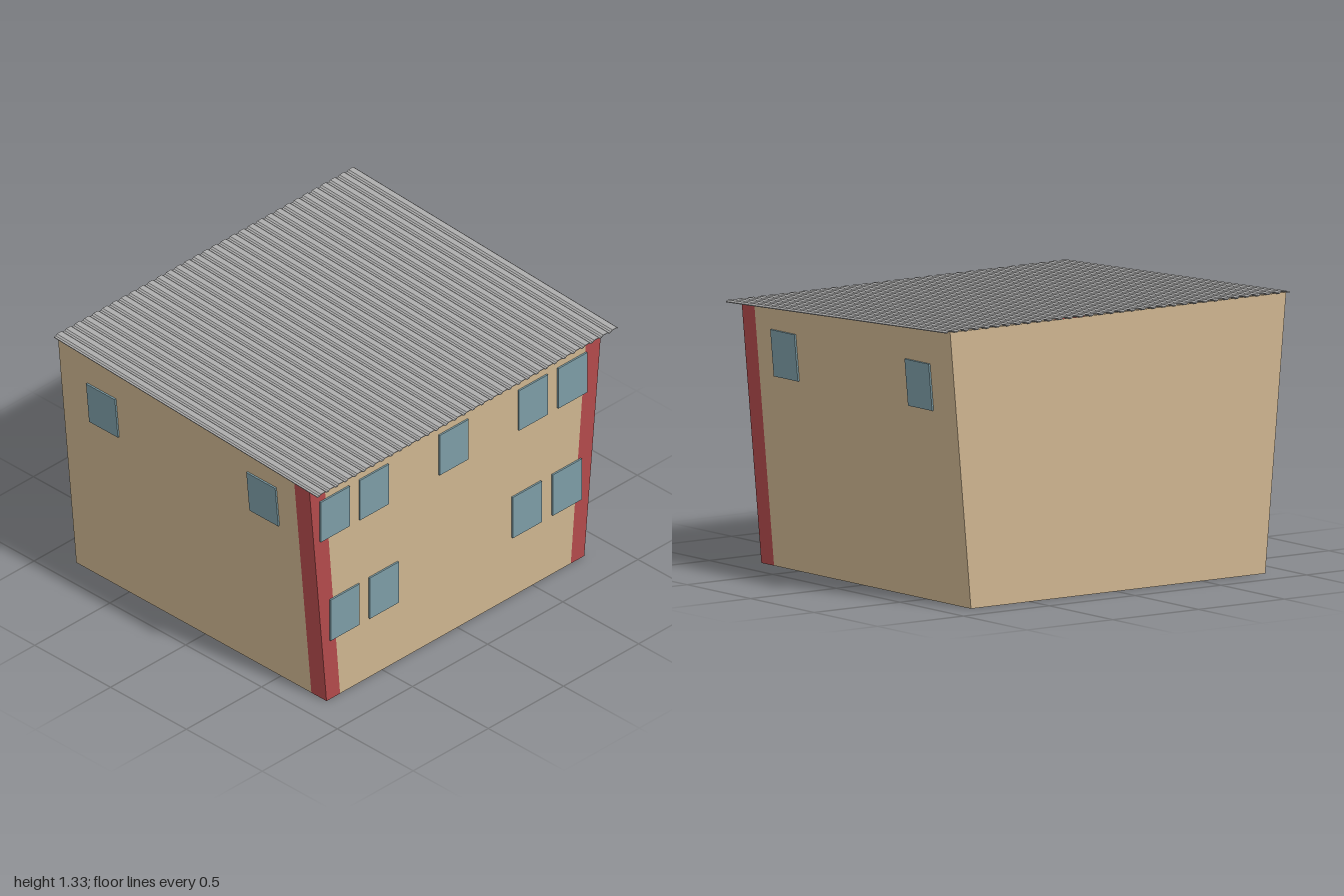
import * as THREE from 'three';

const material = (name, color, side = THREE.FrontSide) => {
  const m = new THREE.MeshStandardMaterial({ color, side });
  m.name = name;
  return m;
};

// Shared dimensions: the side walls lean outwards, the roof rises to the back
const FRONT = 0.8, BACK = -0.85, STRIP_Z = 0.7, SLOPE = 0.0465;
const roofY = (z) => 1.287 - z * SLOPE;
const wallTop = (z) => roofY(z) - 0.003;
const wallX = (s, y) => -0.0125 + s * (0.8575 + 0.092 * y);
const stripX = (s, y) => -0.0125 + s * (0.7675 + 0.084 * y);

// Flat panel from four corners, counter-clockwise seen from outside
function panel(name, [a, b, c, d], mat) {
  const g = new THREE.BufferGeometry();
  g.setAttribute('position', new THREE.Float32BufferAttribute([a, b, c, a, c, d].flat(), 3));
  g.computeVertexNormals();
  const mesh = new THREE.Mesh(g, mat);
  mesh.name = name;
  return mesh;
}

// Corrugated sheet: trapezoid ribs extruded along z, then sheared to the slope
function roofGeometry() {
  const ribs = 33, pitch = 2 / ribs, thick = 0.004, rise = 0.007;
  const top = [];
  for (let i = 0; i < ribs; i++) {
    const x = -1 + i * pitch;
    top.push([x, 0], [x + pitch * 0.2, 0], [x + pitch * 0.35, rise], [x + pitch * 0.85, rise]);
  }
  top.push([1, 0]);
  const under = top.map(([x, y]) => [x, y - thick]).reverse();
  const shape = new THREE.Shape([...top, ...under].map(([x, y]) => new THREE.Vector2(x, y)));
  const g = new THREE.ExtrudeGeometry(shape, { depth: 1.74, bevelEnabled: false });
  g.translate(0, 0, -0.87);
  const p = g.attributes.position;
  for (let i = 0; i < p.count; i++) p.setY(i, p.getY(i) + roofY(p.getZ(i)));
  g.computeVertexNormals();
  return g;
}

export function createModel() {
  const tan = material('tan wall', 0xcdb48f, THREE.DoubleSide);
  const red = material('red trim', 0xb24a4b, THREE.DoubleSide);
  const glass = material('blue glass', 0x7c9ca5);
  const grey = material('grey roof', 0xacacac, THREE.DoubleSide);

  const model = new THREE.Group();
  model.name = 'building';

  // Front and back walls
  const ft = wallTop(FRONT), bt = wallTop(BACK);
  model.add(panel('frontWall', [
    [stripX(-1, 0), 0, FRONT], [stripX(1, 0), 0, FRONT],
    [stripX(1, ft), ft, FRONT], [stripX(-1, ft), ft, FRONT]], tan));
  model.add(panel('backWall', [
    [wallX(1, 0), 0, BACK], [wallX(-1, 0), 0, BACK],
    [wallX(-1, bt), bt, BACK], [wallX(1, bt), bt, BACK]], tan));

  // Side walls and red corner strips, mirrored
  for (const s of [-1, 1]) {
    const label = s > 0 ? 'left' : 'right';
    const order = (corners) => (s > 0 ? corners : corners.reverse());
    const side = (z0, z1) => order([
      [wallX(s, 0), 0, z0], [wallX(s, 0), 0, z1],
      [wallX(s, wallTop(z1)), wallTop(z1), z1], [wallX(s, wallTop(z0)), wallTop(z0), z0]]);
    model.add(panel(label + 'SideWall', side(STRIP_Z, BACK), tan));
    model.add(panel(label + 'SideCorner', side(FRONT, STRIP_Z), red));
    model.add(panel(label + 'FrontCorner', order([
      [stripX(s, 0), 0, FRONT], [wallX(s, 0), 0, FRONT],
      [wallX(s, ft), ft, FRONT], [stripX(s, ft), ft, FRONT]]), red));
  }

  // Front windows: thin plates in two rows
  const rows = [
    { y: 1.035, h: 0.225, xs: [-0.82, -0.56, -0.03, 0.498, 0.76] },
    { y: 0.45, h: 0.23, xs: [-0.755, -0.495, 0.457, 0.723] },
  ];
  for (const { y, h, xs } of rows) {
    for (const x of xs) {
      const w = new THREE.Mesh(new THREE.BoxGeometry(0.192, h, 0.009), glass);
      w.position.set(x, y, FRONT + 0.005);
      w.name = 'frontWindow';
      model.add(w);
    }
  }

  // Side windows lean with the walls
  for (const s of [-1, 1]) {
    for (const z of [0.48, -0.577]) {
      const w = new THREE.Mesh(new THREE.BoxGeometry(0.009, 0.225, 0.19), glass);
      w.position.set(wallX(s, 1.037) + s * 0.005, 1.037, z);
      w.rotation.z = -s * Math.atan(0.092);
      w.name = s > 0 ? 'leftSideWindow' : 'rightSideWindow';
      model.add(w);
    }
  }

  const roof = new THREE.Mesh(roofGeometry(), grey);
  roof.name = 'corrugatedRoof';
  model.add(roof);
  return model;
}
